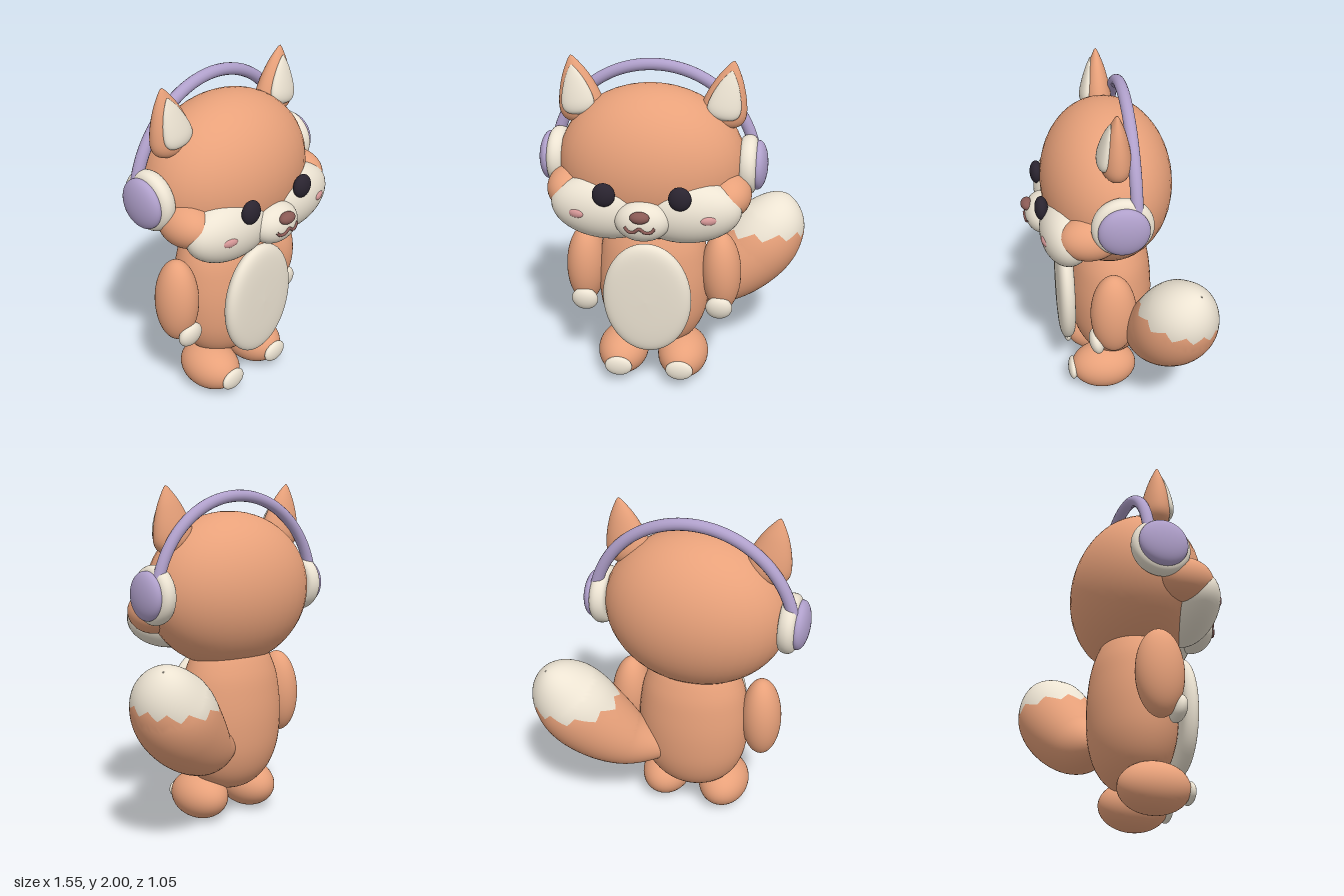
import * as THREE from 'three';
import { ParametricGeometry } from 'three/addons/geometries/ParametricGeometry.js';

const mat = (color) => new THREE.MeshStandardMaterial({ color });
const V = (x, y, z) => new THREE.Vector3(x, y, z);

export function createModel() {
  const root = new THREE.Group();
  root.name = 'foxToy';
  const orange = mat(0xe8a17a), cream = mat(0xece3d2), purple = mat(0xb0a0cb);
  const dark = mat(0x2a2430), brown = mat(0x8a5a55), pink = mat(0xd99a9a);

  // Everything but the tail is symmetric about this group's own middle plane
  const fox = new THREE.Group();
  fox.name = 'fox';
  fox.position.x = -0.117;
  root.add(fox);

  const sphere = new THREE.SphereGeometry(1, 40, 28);
  function add(name, geo, material, pos, scale = [1, 1, 1], rot = [0, 0, 0], parent = fox) {
    const m = new THREE.Mesh(geo, material);
    m.name = name;
    m.position.set(...pos);
    m.scale.set(...scale);
    m.rotation.set(...rot);
    parent.add(m);
    return m;
  }
  const ball = (name, material, pos, scale, rot) => add(name, sphere, material, pos, scale, rot);

  // Smooth lathe from a few [radius, height] points
  function lathe(points, segments = 48) {
    const curve = new THREE.SplineCurve(points.map((p) => new THREE.Vector2(...p)));
    const pts = curve.getPoints(40);
    pts.forEach((p) => { p.x = Math.max(p.x, 0); });
    return new THREE.LatheGeometry(pts, segments);
  }

  // Body and head
  const bodyGeo = lathe([[0, 0.175], [0.14, 0.205], [0.25, 0.295], [0.315, 0.43], [0.337, 0.6],
    [0.328, 0.77], [0.292, 0.93], [0.2, 1.07], [0, 1.13]]);
  add('body', bodyGeo, orange, [0, 0, 0], [1, 1, 0.75]);
  ball('head', orange, [0, 1.393, 0.022], [0.537, 0.458, 0.379]);

  // Thick round pad with a soft rim, used for the belly and the ear cushions
  const pad = lathe([[0, -0.052], [0.6, -0.05], [0.9, -0.042], [1, 0], [0.9, 0.035], [0.6, 0.05], [0, 0.055]]);
  add('bellyPatch', pad, cream, [0, 0.64, 0.28], [0.26, 1, 0.354], [Math.PI / 2, 0, 0]);

  // Muzzle, nose and mouth
  ball('muzzle', cream, [0, 1.195, 0.39], [0.155, 0.114, 0.108]);
  ball('nose', brown, [0, 1.255, 0.483], [0.054, 0.033, 0.036]);
  const mouthPoints = [[-0.083, 1.198], [-0.062, 1.175], [-0.033, 1.174], [0, 1.196],
    [0.033, 1.174], [0.062, 1.175], [0.083, 1.198]].map(([x, y]) => {
    const k = 1 - (x / 0.155) ** 2 - ((y - 1.195) / 0.114) ** 2;
    return V(x, y, 0.392 + 0.108 * Math.sqrt(k));
  });
  add('mouth', new THREE.TubeGeometry(new THREE.CatmullRomCurve3(mouthPoints), 48, 0.009, 8), brown, [0, 0, 0]);

  // Ear: pointed cone with bulging sides and a rounded base
  const earGeo = lathe([[0, -0.05], [0.09, -0.025], [0.125, 0.03], [0.113, 0.12], [0.072, 0.23], [0.022, 0.315], [0, 0.338]], 32);

  // Paired parts
  for (const [side, s] of [['left', 1], ['right', -1]]) {
    const n = (part) => side + part;
    ball(n('SideCheek'), orange, [s * 0.45, 1.28, 0.165], [0.13, 0.125, 0.172]);
    ball(n('Cheek'), cream, [s * 0.237, 1.215, 0.276], [0.3, 0.182, 0.153], [0, 0, s * 0.09]);
    ball(n('Eye'), dark, [s * 0.208, 1.345, 0.41], [0.063, 0.068, 0.038]);
    ball(n('Blush'), pink, [s * 0.365, 1.225, 0.403], [0.048, 0.027, 0.02], [0, s * 0.3, 0]);

    const ear = new THREE.Group();
    ear.name = n('Ear');
    ear.position.set(s * 0.392, 1.67, 0.018);
    ear.rotation.z = -s * 0.18;
    fox.add(ear);
    add(n('EarShell'), earGeo, orange, [0, 0, 0], [1.02, 1, 0.66], [0, 0, 0], ear);
    add(n('EarInner'), earGeo, cream, [0, 0.05, 0.07], [0.74, 0.72, 0.3], [-0.16, 0, 0], ear);

    add(n('EarCushion'), pad, cream, [s * 0.55, 1.4, 0], [0.17, 1.02, 0.17], [0, 0, -s * Math.PI / 2]);
    ball(n('EarCup'), purple, [s * 0.602, 1.4, 0], [0.056, 0.14, 0.14]);

    ball(n('Arm'), orange, [s * 0.411, 0.715, 0.03], [0.118, 0.257, 0.135], [0, 0, s * 0.04]);
    ball(n('Paw'), cream, [s * 0.408, 0.52, 0.13], [0.08, 0.077, 0.045], [0.2, 0, 0]);
    ball(n('Foot'), orange, [s * 0.187, 0.148, 0.063], [0.155, 0.143, 0.202]);
    ball(n('ToePad'), cream, [s * 0.187, 0.135, 0.258], [0.084, 0.063, 0.03]);
  }

  // Headband: arc from cup to cup
  const arc = Math.PI * 0.92;
  add('headband', new THREE.TorusGeometry(0.585, 0.034, 16, 80, arc), purple,
    [0, 1.355, -0.073], [1, 1, 1], [0, 0, (Math.PI - arc) / 2]);

  // Tail: round sections swept along a curve, split by a zigzag into base and tip
  const path = new THREE.CatmullRomCurve3([V(0.0, 0.47, -0.13), V(0.25, 0.55, -0.205),
    V(0.455, 0.72, -0.275), V(0.575, 0.89, -0.325), V(0.655, 1.06, -0.395)]);
  const ref = V(0, 0, 1);
  function radius(t) {
    if (t > 0.58) return 0.236 * Math.max(1 - ((t - 0.58) / 0.42) ** 2, 1e-6) ** 0.56;
    return 0.236 * (1 - 0.78 * ((0.58 - t) / 0.58) ** 2);
  }
  function tailPoint(u, t, out) {
    const T = path.getTangent(t);
    const N = ref.clone().cross(T).normalize();
    const B = T.clone().cross(N);
    const a = u * Math.PI * 2, r = radius(t);
    return out.copy(path.getPoint(t)).addScaledVector(N, r * Math.cos(a)).addScaledVector(B, r * Math.sin(a));
  }
  // Where the zigzag border crosses each lengthwise line of the tail
  const probe = V(0, 0, 0);
  const cache = new Map();
  function border(u) {
    if (cache.has(u)) return cache.get(u);
    const level = 0.882 + 0.045 * Math.abs(2 * ((((u * 11) % 1) + 1) % 1) - 1);
    let lo = 0.25, hi = 0.97;
    for (let i = 0; i < 18; i++) {
      const mid = (lo + hi) / 2;
      tailPoint(u, mid, probe);
      if (probe.y - 0.15 * probe.z < level) lo = mid; else hi = mid;
    }
    cache.set(u, lo);
    return lo;
  }
  const tail = new THREE.Group();
  tail.name = 'tail';
  root.add(tail);
  const base = new ParametricGeometry((u, v, p) => tailPoint(u, v * border(u), p), 88, 28);
  const tip = new ParametricGeometry((u, v, p) => {
    const b = border(u);
    tailPoint(u, b + (1 - b) * (1 - (1 - v) ** 2), p);
  }, 88, 20);
  add('tailBase', base, orange, [0, 0, 0], [1, 1, 1], [0, 0, 0], tail);
  add('tailTip', tip, cream, [0, 0, 0], [1, 1, 1], [0, 0, 0], tail);

  return root;
}
